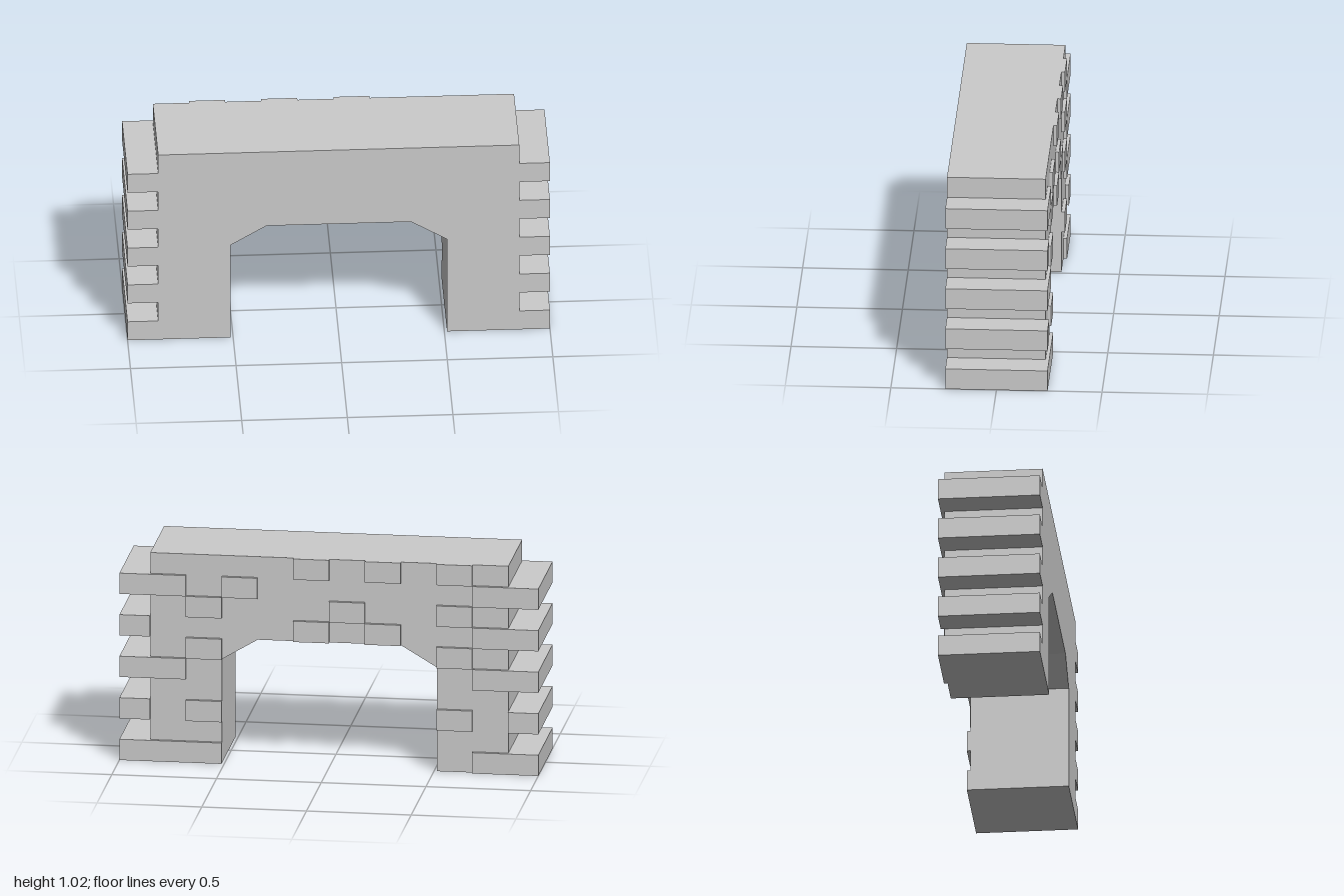
import * as THREE from 'three';

const ROW = 0.102;      // height of one brick course
const COL = 0.171;      // width of one brick
const HALF = 0.855;     // half width of the wall body
const FRONT = 0.242, BACK = -0.225, RAISED = -0.242;

export function createModel() {
  const group = new THREE.Group();
  const material = new THREE.MeshStandardMaterial({ color: 0xcccccc, flatShading: true });

  const addBox = (name, x0, x1, row, z0, z1) => {
    const mesh = new THREE.Mesh(new THREE.BoxGeometry(x1 - x0, ROW, z1 - z0), material);
    mesh.position.set((x0 + x1) / 2, (row + 0.5) * ROW, (z0 + z1) / 2);
    mesh.name = name;
    group.add(mesh);
  };

  // Wall body with a chamfered gateway
  const half = [[HALF, 10 * ROW], [HALF, 0], [3 * COL, 0], [3 * COL, 5 * ROW], [2 * COL, 6 * ROW]];
  const outline = [...half, ...half.map(([x, y]) => [-x, y]).reverse()];
  const shape = new THREE.Shape(outline.map(([x, y]) => new THREE.Vector2(x, y)));
  const bodyGeometry = new THREE.ExtrudeGeometry(shape, { depth: FRONT - BACK, bevelEnabled: false });
  bodyGeometry.translate(0, 0, BACK);
  const body = new THREE.Mesh(bodyGeometry, material);
  body.name = 'archWall';
  group.add(body);

  // Interlocking courses on both ends
  for (let row = 0; row < 10; row += 2) {
    addBox('leftTooth', HALF, 1, row, RAISED, FRONT);
    addBox('rightTooth', -1, -HALF, row, RAISED, FRONT);
  }

  // Raised bricks on the back: column (counted from +x) and the courses it holds
  const bricks = {
    0: [0, 4, 8], 1: [0, 2, 5, 7], 2: [8], 4: [6, 9], 5: [7],
    6: [6, 9], 8: [2, 5, 7, 9], 9: [0, 4, 6, 8],
  };
  for (const [column, rows] of Object.entries(bricks)) {
    const x1 = HALF - column * COL;
    for (const row of rows) addBox('raisedBrick', x1 - COL, x1, row, RAISED, BACK);
  }
  return group;
}
